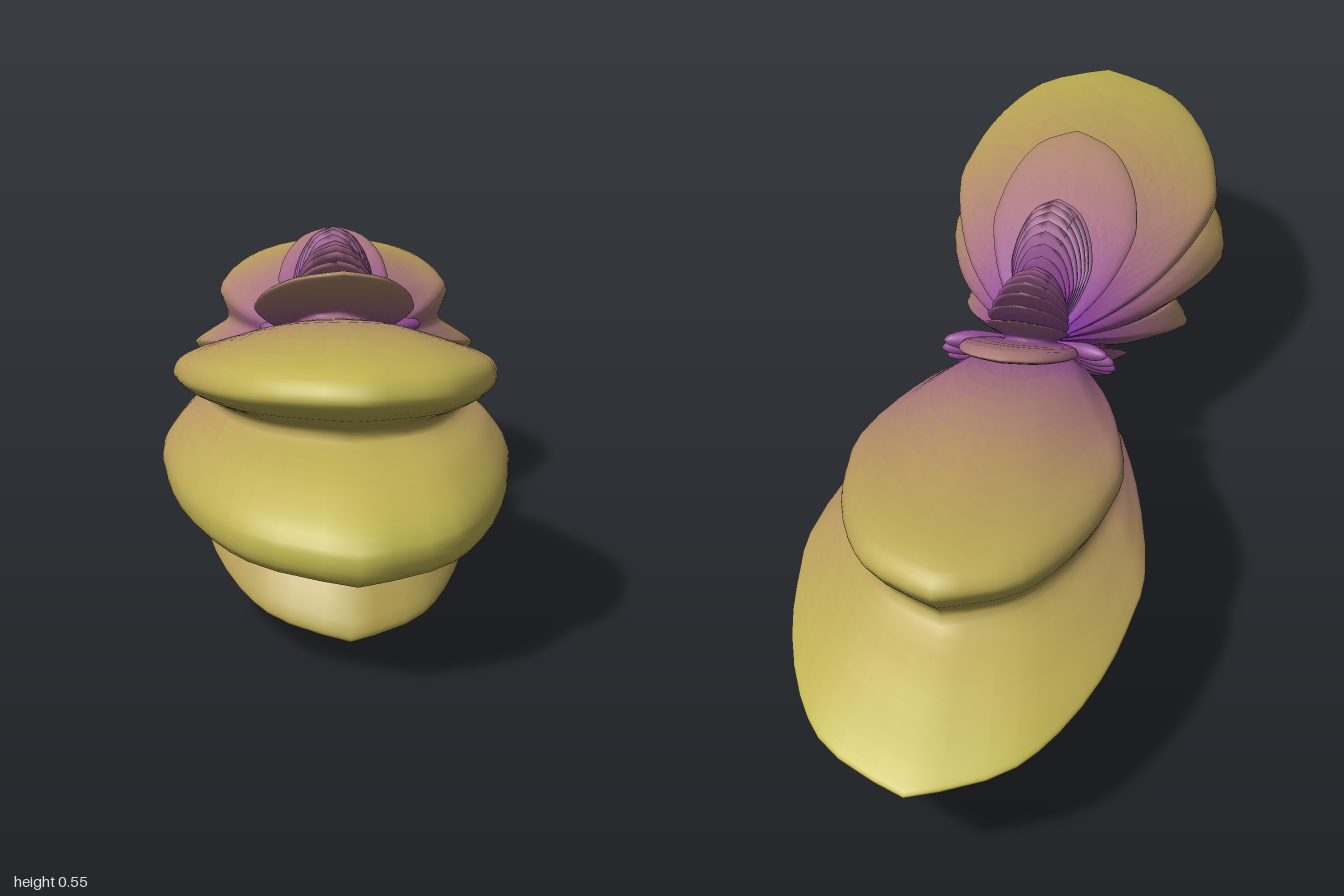
import * as THREE from 'three';

// Common centre from which every lobe radiates
const CENTRE = new THREE.Vector3(0, 0.35, 0.02);
const rad = THREE.MathUtils.degToRad;

// Colour ramp by distance from the centre, as a set of thin bands
const BANDS = 40;
const RAMP = [[0, 0x6a00a8], [0.1, 0x8a3a98], [0.28, 0xa87080], [0.55, 0xb4945e], [0.8, 0xbcab52], [1, 0xc4ba50]];
function rampColor(t) {
  let i = 0;
  while (i < RAMP.length - 2 && t > RAMP[i + 1][0]) i++;
  const [a, ca] = RAMP[i], [b, cb] = RAMP[i + 1];
  return new THREE.Color(ca).lerp(new THREE.Color(cb), (t - a) / (b - a));
}
const bandMaterials = Array.from({ length: BANDS }, (_, i) =>
  new THREE.MeshStandardMaterial({ color: rampColor((i + 0.5) / BANDS) }));

// Lobe outline in the z-y plane, running from the front over the top
const upperLobes = [
  [0.78, 0.33], [0.92, 0.385], [0.95, 0.41], [0.93, 0.44], [0.83, 0.46], [0.5, 0.46], [0.25, 0.435],
  [0.44, 0.505], [0.476, 0.535], [0.44, 0.535], [0.33, 0.5], [0.17, 0.44],
];
const backLobes = [
  [-0.12, 0.44], [-0.28, 0.527], [-0.31, 0.525], [-0.29, 0.505], [-0.14, 0.42],
  [-0.35, 0.465], [-0.6, 0.465], [-0.77, 0.45], [-0.8, 0.42], [-0.78, 0.385], [-0.74, 0.33],
  [-0.85, 0.27], [-0.97, 0.21], [-0.995, 0.19], [-0.92, 0.16], [-0.75, 0.12], [-0.55, 0.1],
  [-0.48, 0.085], [-0.5, 0.04], [-0.47, 0.02], [-0.3, 0.08], [-0.13, 0.2],
];
const lowerLobes = [
  [0.2, 0.17], [0.36, 0.08], [0.4, 0.075], [0.3, 0.16], [0.4, 0.11], [0.6, 0.035], [0.72, 0.002],
  [0.745, 0.003], [0.74, 0.03], [0.68, 0.12], [0.64, 0.138], [0.7, 0.135], [0.9, 0.145],
  [0.99, 0.16], [0.995, 0.205], [0.9, 0.28],
];

// A fan of thin spikes: alternating tips and valleys
function spikeFan(count, from, to, tip, valley) {
  const points = [];
  for (let i = 0; i < 2 * count - 1; i++) {
    const a = rad(from + (to - from) * i / (2 * count - 2));
    const r = i % 2 ? valley : tip(a);
    points.push([CENTRE.z + r * Math.cos(a), CENTRE.y + r * Math.sin(a)]);
  }
  return points;
}

// Sideways falloff of every lobe: angle towards x in degrees, relative reach
const falloff = new THREE.SplineCurve([
  [0, 1], [8, 0.945], [13, 0.875], [19, 0.765], [24, 0.665], [28, 0.59], [34, 0.43],
  [40, 0.3], [47, 0.18], [60, 0.07], [90, 0],
].map(([a, g]) => new THREE.Vector2(a, g)));

function buildLobes() {
  const outline = [
    ...upperLobes,
    ...spikeFan(17, 40, 140, a => 0.15 + 0.16 * Math.abs(Math.cos(a)), 0.09),
    ...backLobes,
    ...spikeFan(9, 232, 306, a => 0.25 + 0.02 * Math.sin(a * 9), 0.12),
    ...lowerLobes,
  ];
  const curve = new THREE.CatmullRomCurve3(outline.map(([z, y]) => new THREE.Vector3(0, y, z)), true);
  const rows = outline.length * 5, half = 24, cols = half * 2 + 1;

  // Each row is the petal outline lying in a plane through the x axis
  const positions = [];
  for (let i = 0; i < rows; i++) {
    const p = curve.getPoint(i / rows).sub(CENTRE);
    const reach = p.length();
    for (let j = -half; j <= half; j++) {
      const s = falloff.getPoint(Math.abs(j) / half);
      const b = rad(s.x), g = Math.max(0, s.y), c = g * Math.cos(b);
      const lean = 0.04 * Math.max(0, p.z) * g ** 4;
      positions.push(Math.sign(j) * g * Math.sin(b) * reach + lean, CENTRE.y + p.y * c, CENTRE.z + p.z * c);
    }
  }

  // Sort the faces into colour bands by distance from the centre
  const bands = Array.from({ length: BANDS }, () => []);
  const v = new THREE.Vector3(), mid = new THREE.Vector3();
  const addFace = (...face) => {
    mid.set(0, 0, 0);
    for (const k of face) mid.add(v.fromArray(positions, k * 3));
    const d = mid.divideScalar(3).distanceTo(CENTRE);
    bands[Math.min(BANDS - 1, Math.floor(d * BANDS))].push(...face);
  };
  for (let i = 0; i < rows; i++) {
    for (let j = 0; j < cols - 1; j++) {
      const a = i * cols + j, n = ((i + 1) % rows) * cols + j;
      addFace(a, a + 1, n);
      addFace(a + 1, n + 1, n);
    }
  }
  const geometry = new THREE.BufferGeometry();
  geometry.setAttribute('position', new THREE.Float32BufferAttribute(positions, 3));
  geometry.setIndex(bands.flat());
  let start = 0;
  bands.forEach((band, i) => {
    geometry.addGroup(start, band.length, i);
    start += band.length;
  });
  geometry.computeVertexNormals();
  const mesh = new THREE.Mesh(geometry, bandMaterials);
  mesh.name = 'radiatingLobes';
  return mesh;
}

// Small teardrop lobes pointing out to each side
function buildSideLobes() {
  const group = new THREE.Group();
  group.name = 'sideLobes';
  const profile = new THREE.SplineCurve([[0, 0], [0.05, 0.35], [0.1, 0.7], [0.06, 0.93], [0, 1]]
    .map(([x, y]) => new THREE.Vector2(x, y))).getPoints(14).map(p => p.setX(Math.max(0, p.x)));
  const geometry = new THREE.LatheGeometry(profile, 10);
  const material = new THREE.MeshStandardMaterial({ color: rampColor(0.14) });
  const up = new THREE.Vector3(0, 1, 0);
  for (const side of [1, -1]) {
    for (let i = 0; i < 6; i++) {
      const lobe = new THREE.Mesh(geometry, material);
      const direction = new THREE.Vector3(side, 0.15 - 0.22 * i, -0.45 + 0.19 * i).normalize();
      lobe.name = side > 0 ? 'leftSideLobe' : 'rightSideLobe';
      lobe.position.copy(CENTRE);
      lobe.quaternion.setFromUnitVectors(up, direction);
      lobe.scale.setScalar(side > 0 ? 0.18 : 0.15);
      group.add(lobe);
    }
  }
  return group;
}

export function createModel() {
  const model = new THREE.Group();
  model.name = 'lobedPattern';
  model.add(buildLobes(), buildSideLobes());
  return model;
}
